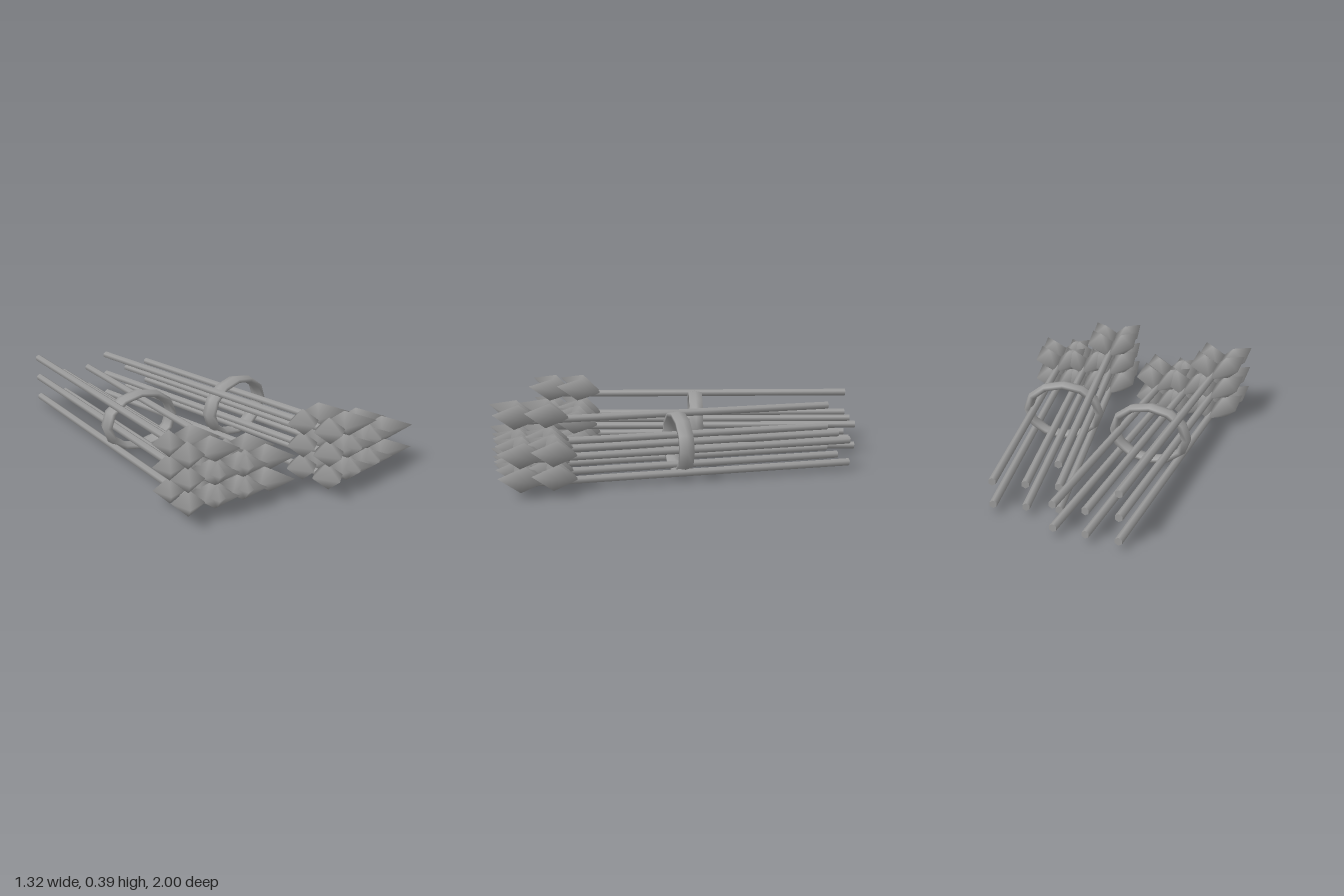
import * as THREE from 'three';

const grey = new THREE.MeshStandardMaterial({ color: 0x9a9a9a });
grey.name = 'grey';

const ROWS = [0.052, 0.172, 0.291];
const SPACING = 0.16;
const STALK_BACK = -0.89;
const STALK_FRONT = 0.8;

const stalkGeometry = new THREE.CylinderGeometry(0.02, 0.02, STALK_FRONT - STALK_BACK, 6);
stalkGeometry.rotateX(Math.PI / 2).translate(0, 0, (STALK_FRONT + STALK_BACK) / 2);

// Four-sided pointed kernel, its long axis leaning outward and upward
function grainGeometry(side) {
  const axis = new THREE.Vector3(side * 0.135, 0.065, 0.25);
  const half = axis.length() / 2;
  axis.normalize();
  const across = new THREE.Vector3(axis.z, 0, -axis.x).normalize();
  const up = across.clone().cross(axis);
  const geometry = new THREE.SphereGeometry(1, 4, 2);
  geometry.scale(0.08, half, 0.065);
  geometry.applyMatrix4(new THREE.Matrix4().makeBasis(across, axis, up));
  return geometry.translate(side * 0.0675, 0.036, 0.125);
}
const grains = { '-1': grainGeometry(-1), 1: grainGeometry(1) };

// One stalk carrying two pairs of kernels
function createStem() {
  const stem = new THREE.Group();
  stem.name = 'stem';
  const stalk = new THREE.Mesh(stalkGeometry, grey);
  stalk.name = 'stalk';
  stem.add(stalk);
  for (const z of [0.54, 0.7]) {
    for (const side of [-1, 1]) {
      const grain = new THREE.Mesh(grains[side], grey);
      grain.name = side > 0 ? 'leftGrain' : 'rightGrain';
      grain.position.z = z;
      stem.add(grain);
    }
  }
  return stem;
}

// Two full rows of three stems, one stem on top, and an oval tie
function createBundle(name, x, z, turn) {
  const bundle = new THREE.Group();
  bundle.name = name;
  ROWS.forEach((y, row) => {
    const count = row < 2 ? 3 : 1;
    for (let column = 0; column < count; column++) {
      const stem = createStem();
      stem.position.set((column - 1) * SPACING, y, 0);
      bundle.add(stem);
    }
  });
  const tie = new THREE.Mesh(new THREE.TorusGeometry(0.197, 0.025, 6, 12), grey);
  tie.name = 'tieRing';
  tie.scale.set(1, 0.745, 1.73);
  tie.position.y = 0.17;
  bundle.add(tie);
  bundle.position.set(x, 0, z);
  bundle.rotation.y = turn;
  return bundle;
}

export function createModel() {
  const model = new THREE.Group();
  model.name = 'wheatBundles';
  model.add(createBundle('rightBundle', -0.345, -0.11, -0.0175));
  model.add(createBundle('leftBundle', 0.192, 0.01, 0.19));
  return model;
}
